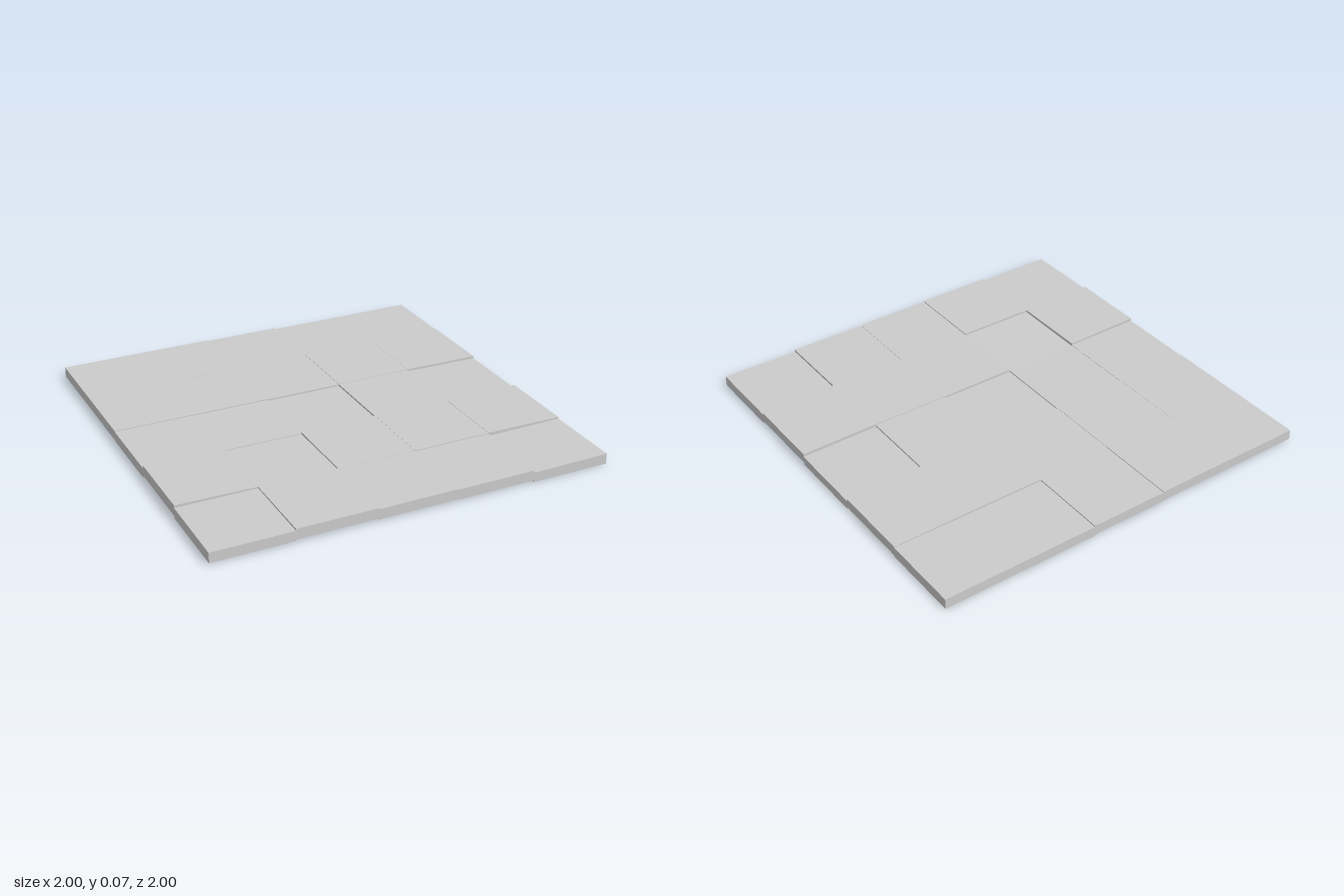
import * as THREE from 'three';

const TILE = 0.4, THICK = 0.052;

// Top height at the centre of each tile: rows back to front, columns from -x to +x
const TOPS = [
  [0.063, 0.063, 0.059, 0.053, 0.054],
  [0.063, 0.062, 0.060, 0.062, 0.061],
  [0.059, 0.057, 0.051, 0.060, 0.049],
  [0.071, 0.055, 0.063, 0.064, 0.064],
  [0.059, 0.067, 0.062, 0.060, 0.051],
];

// Tops that lean: 'row,column' -> rise per unit along x and z
const LEAN = {
  '0,4': [0.004, 0],
  '1,4': [-0.008, 0],
  '2,4': [-0.012, 0],
  '3,0': [-0.015, 0],
  '3,1': [0, 0.008],
  '3,4': [-0.008, 0],
  '4,0': [0, -0.006],
  '4,4': [0.012, 0],
};

// Open-bottomed slab: a box without its lower face, with a slightly leaning top
function tileGeometry(top, [leanX, leanZ]) {
  const box = new THREE.BoxGeometry(TILE, 1, TILE);
  const faces = Array.from(box.index.array);
  faces.splice(18, 6);
  box.setIndex(faces);
  box.clearGroups();
  const p = box.attributes.position;
  const base = Math.max(0, top - THICK);
  for (let i = 0; i < p.count; i++) {
    const lift = leanX * p.getX(i) + leanZ * p.getZ(i);
    p.setY(i, p.getY(i) > 0 ? top + lift : base);
  }
  const geometry = box.toNonIndexed();
  geometry.computeVertexNormals();
  return geometry;
}

export function createModel() {
  const model = new THREE.Group();
  model.name = 'tiledFloor';
  const stone = new THREE.MeshStandardMaterial({
    color: 0xcccccc, flatShading: true, side: THREE.DoubleSide,
  });

  // Five by five uneven paving tiles
  TOPS.forEach((row, r) => row.forEach((top, c) => {
    const tile = new THREE.Mesh(tileGeometry(top, LEAN[`${r},${c}`] ?? [0, 0]), stone);
    tile.name = `floorTile_${r + 1}_${c + 1}`;
    tile.position.set((c - 2) * TILE, 0, (r - 2) * TILE);
    model.add(tile);
  }));
  return model;
}
